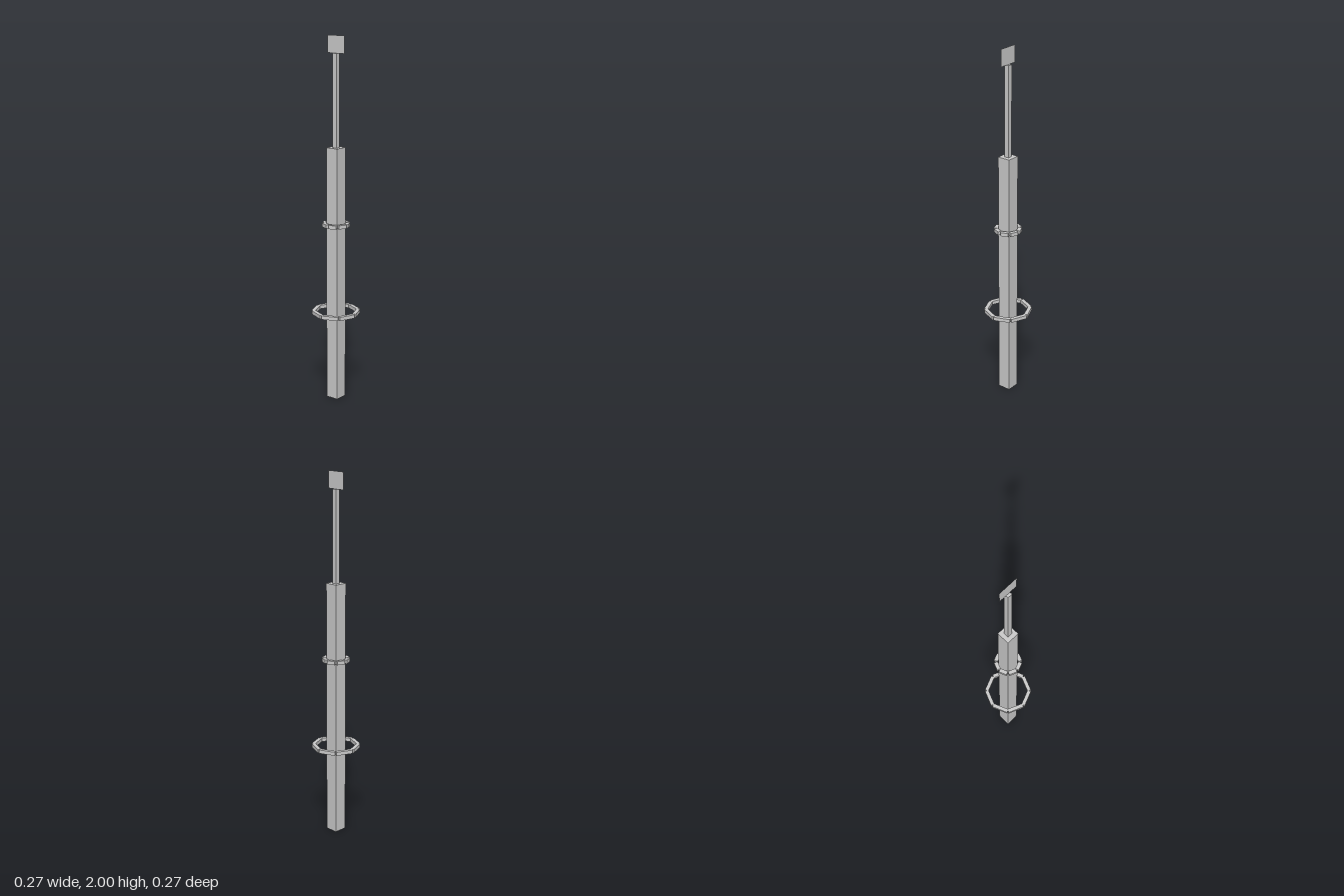
import * as THREE from 'three';

const material = new THREE.MeshStandardMaterial({ color: 0xcccccc, flatShading: true });

// Square column standing on height y
function column(name, width, y, height) {
  const mesh = new THREE.Mesh(new THREE.BoxGeometry(width, height, width), material);
  mesh.name = name;
  mesh.position.y = y + height / 2;
  return mesh;
}

// Eight straight bars around the tower, with small notches at the outer corners
function ring(name, y, radius, length) {
  const group = new THREE.Group();
  group.name = name;
  group.position.y = y;
  const geometry = new THREE.BoxGeometry(length, 0.02, 0.021);
  for (let i = 0; i < 8; i++) {
    const angle = (i + 0.5) * Math.PI / 4;
    const bar = new THREE.Mesh(geometry, material);
    bar.name = 'ringBar';
    bar.position.set(Math.sin(angle) * radius, 0, Math.cos(angle) * radius);
    bar.rotation.y = angle;
    group.add(bar);
  }
  return group;
}

export function createModel() {
  const model = new THREE.Group();
  model.name = 'tower';
  model.add(column('shaft', 0.073, 0, 1.413));
  model.add(column('mast', 0.027, 1.413, 0.495));
  model.add(ring('lowerRing', 0.499, 0.1147, 0.0925));
  model.add(ring('upperRing', 0.993, 0.0625, 0.044));

  // Thin flat panel on top of the mast
  const panelMaterial = material.clone();
  panelMaterial.side = THREE.DoubleSide;
  const panel = new THREE.Mesh(new THREE.PlaneGeometry(0.112, 0.092), panelMaterial);
  panel.name = 'topPanel';
  panel.position.y = 1.954;
  model.add(panel);
  return model;
}
